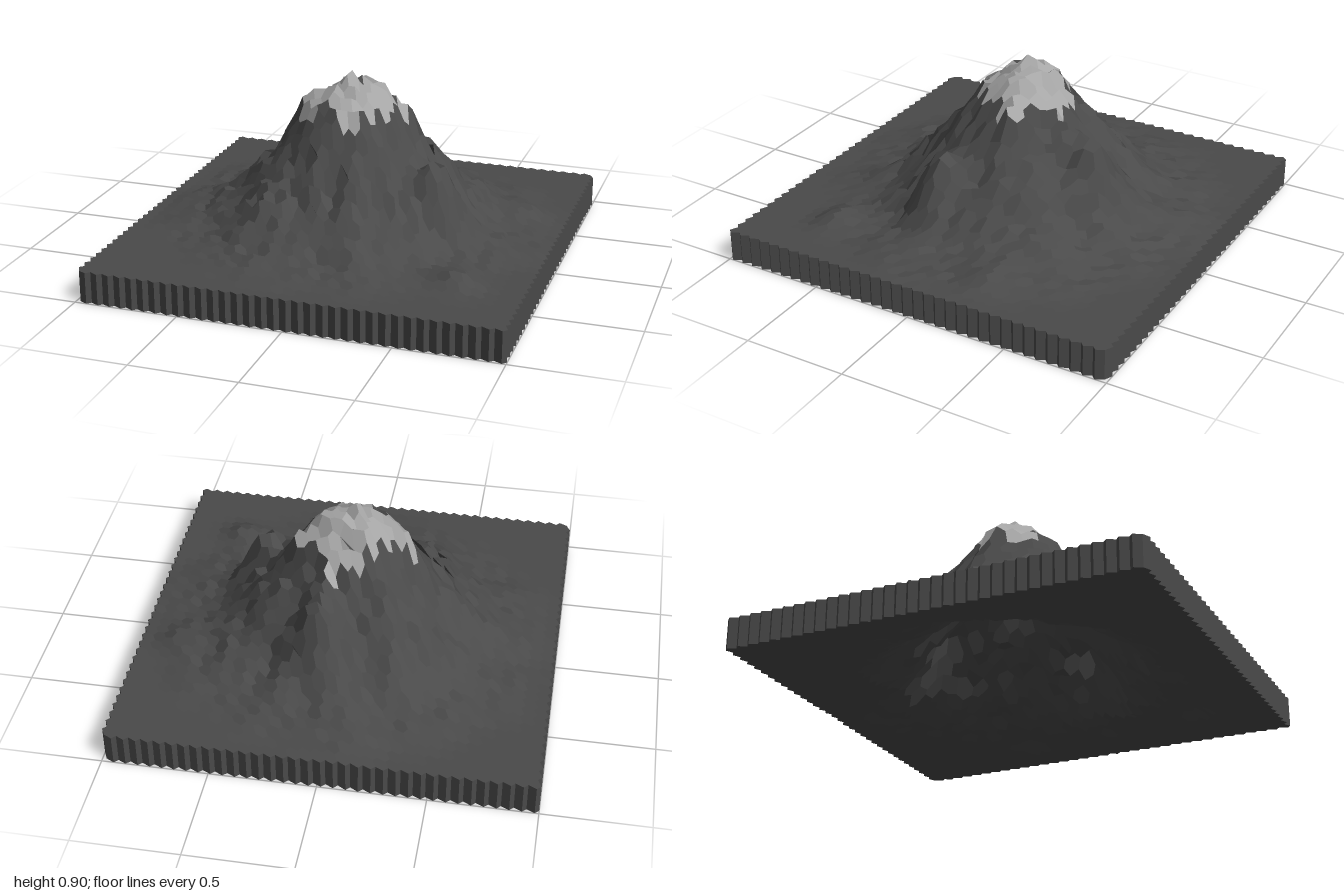
import * as THREE from 'three';

const SLAB = 0.15;               // sheet thickness
const TILES = 35;                // hexagonal tiles along each side
const UNIT = 2 / (3 * TILES + 1);
const CORNERS = [[2, 1], [1, -1], [-1, -2], [-2, -1], [-1, 1], [1, 2]];

// radius and height of the mountain above the slab
const PROFILE = [[0, 0.69], [0.1, 0.665], [0.2, 0.575], [0.3, 0.425], [0.4, 0.295],
  [0.5, 0.2], [0.6, 0.11], [0.7, 0.045], [0.82, 0.02], [0.95, 0], [2, 0]];

// outcrops: x, z, height, radius
const BUMPS = [[-0.02, -0.03, 0.06, 0.04], [0.12, -0.02, 0.05, 0.05], [-0.27, -0.03, 0.06, 0.09],
  [0.23, -0.05, 0.04, 0.08], [0.47, 0.17, 0.17, 0.1], [0.09, -0.47, 0.18, 0.1],
  [0.68, 0.6, 0.06, 0.09], [0.78, -0.3, 0.05, 0.1], [-0.2, -0.78, 0.02, 0.1]];

function hash(i, k) {
  let n = Math.imul(i + 311, 374761393) ^ Math.imul(k + 977, 668265263);
  n = Math.imul(n ^ (n >>> 13), 1274126177);
  return ((n ^ (n >>> 16)) >>> 0) / 4294967296;
}

// smooth value noise in -1..1
function noise(x, z) {
  const i = Math.floor(x), k = Math.floor(z);
  const u = THREE.MathUtils.smoothstep(x - i, 0, 1), v = THREE.MathUtils.smoothstep(z - k, 0, 1);
  const { lerp } = THREE.MathUtils;
  return lerp(lerp(hash(i, k), hash(i + 1, k), u), lerp(hash(i, k + 1), hash(i + 1, k + 1), u), v) * 2 - 1;
}

function profile(r) {
  const n = PROFILE.findIndex((p) => p[0] > r);
  const [r0, h0] = PROFILE[n - 1], [r1, h1] = PROFILE[n];
  return h0 + (h1 - h0) * (r - r0) / (r1 - r0);
}

function height(x, z, jitter) {
  const dz = z + 0.03, r = Math.hypot(x * 0.97, dz), a = Math.atan2(dz, x);
  const gully = 1 + 0.025 * Math.sin(7 * a + 4 * r) + 0.025 * Math.sin(13 * a + 1);
  let h = profile(r * gully);
  for (const [bx, bz, bh, br] of BUMPS) h += bh * Math.exp(-((x - bx) ** 2 + (z - bz) ** 2) / (br * br));
  const edge = 1 - THREE.MathUtils.smoothstep(r, 0.75, 1);
  const steep = 1 - THREE.MathUtils.smoothstep(r, 0.45, 0.75);
  h += edge * (0.012 + 0.02 * steep) * noise(x * 9, z * 9);
  h += edge * (0.012 + 0.018 * steep) * (jitter * 2 - 1);
  return SLAB + Math.max(0, h);
}

// flat polygons collected into one geometry, one normal per polygon
class Faces {
  positions = [];
  normals = [];
  add(points) {
    const normal = new THREE.Vector3(), c = new THREE.Vector3();
    points.forEach((p, n) => normal.add(
      c.crossVectors(p.clone().sub(points[0]), points[(n + 1) % points.length].clone().sub(points[0]))));
    normal.normalize();
    for (let n = 1; n < points.length - 1; n++) {
      for (const p of [points[0], points[n], points[n + 1]]) {
        this.positions.push(p.x, p.y, p.z);
        this.normals.push(normal.x, normal.y, normal.z);
      }
    }
  }
  mesh(name, material) {
    const g = new THREE.BufferGeometry();
    g.setAttribute('position', new THREE.Float32BufferAttribute(this.positions, 3));
    g.setAttribute('normal', new THREE.Float32BufferAttribute(this.normals, 3));
    const mesh = new THREE.Mesh(g, material);
    mesh.name = name;
    return mesh;
  }
}

export function createModel() {
  const rock = new THREE.MeshStandardMaterial({ color: 0x4a4a4a });
  const snow = new THREE.MeshStandardMaterial({ color: 0xa6a6a6 });
  const slope = new Faces(), cap = new Faces(), under = new Faces(), capUnder = new Faces(), wall = new Faces();

  const vertex = (i, k) => {
    const x = i * UNIT, z = k * UNIT;
    return new THREE.Vector3(x, height(x, z, hash(i, k)), z);
  };
  const lower = (p) => new THREE.Vector3(p.x, p.y - SLAB, p.z);
  const edges = new Map();

  // slanted hexagonal tiles, above and on the hollow underside
  const half = (TILES - 1) / 2;
  for (let r = -half; r <= half; r++) {
    for (let c = -half; c <= half; c++) {
      const ids = CORNERS.map(([di, dk]) => [3 * c + di, 3 * r + dk]);
      const top = ids.map(([i, k]) => vertex(i, k));
      const mean = top.reduce((s, p) => s + p.y, 0) / 6;
      const snowy = mean > 0.7 + 0.08 * noise(c * 0.6 + 50, r * 0.6);
      (snowy ? cap : slope).add(top);
      (snowy ? capUnder : under).add(top.map(lower).reverse());
      ids.forEach((id, n) => {
        const m = (n + 1) % 6;
        edges.set(`${id}|${ids[m]}`, [`${ids[m]}|${id}`, top[n], top[m]]);
      });
    }
  }

  // zigzag rim wall along every edge that has no neighbour
  for (const [reverse, a, b] of edges.values()) {
    if (!edges.has(reverse)) wall.add([a, lower(a), lower(b), b]);
  }

  const group = new THREE.Group();
  group.name = 'mountain';
  group.add(
    slope.mesh('rockSlope', rock), cap.mesh('snowCap', snow),
    under.mesh('hollowUnderside', rock), capUnder.mesh('snowCapUnderside', snow),
    wall.mesh('rimWall', rock));
  return group;
}
